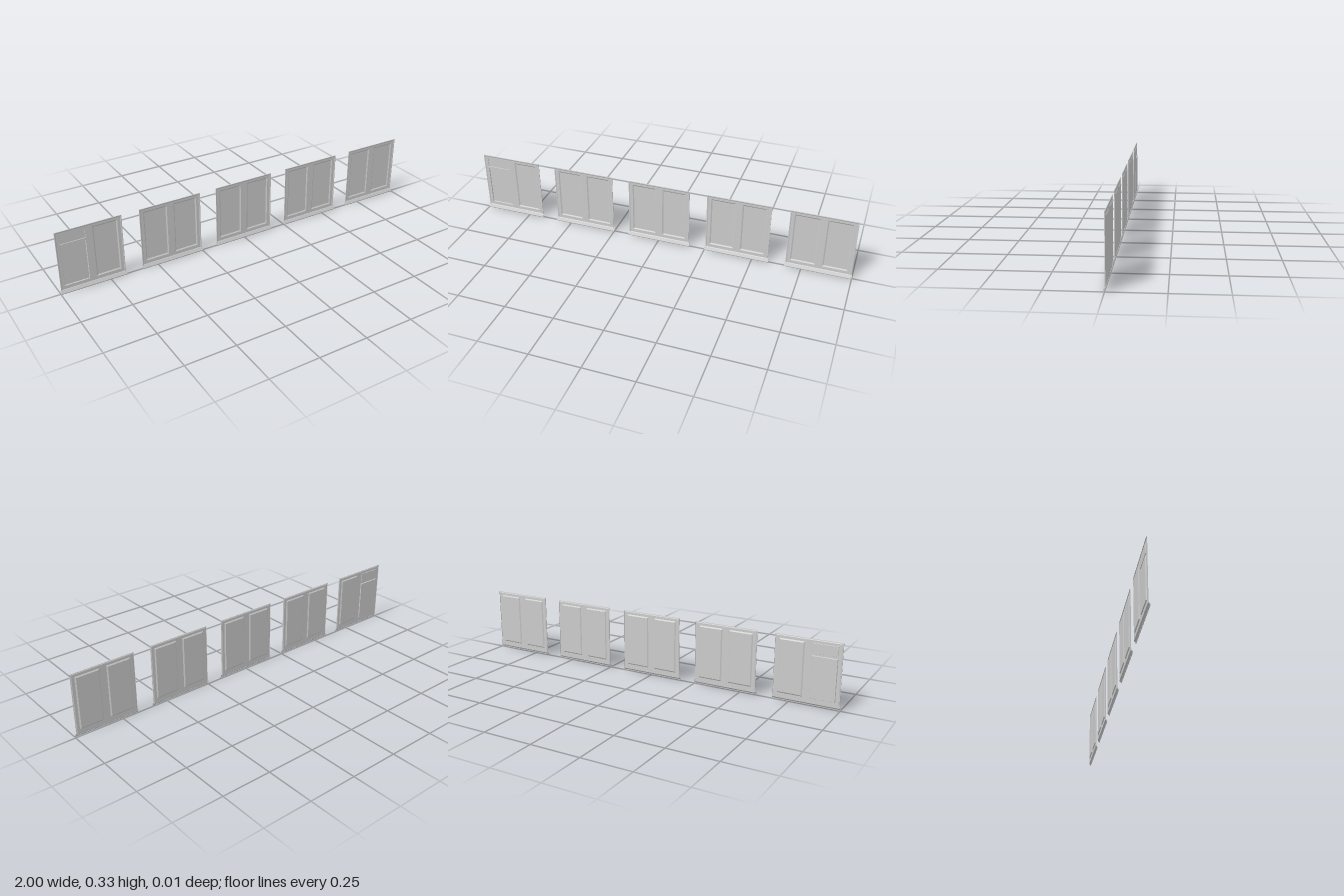
import * as THREE from 'three';

const material = new THREE.MeshStandardMaterial({ color: 0xcccccc, flatShading: true, side: THREE.DoubleSide });

const HALF = 0.163, BASE = 0.012, TOP = 0.326;
const FACE_Z = -0.002, GLASS_Z = -0.0062;

function addMesh(group, name, geometry) {
  const mesh = new THREE.Mesh(geometry, material);
  mesh.name = name;
  group.add(mesh);
  return mesh;
}

// Corners of a rectangle { x0, x1, y0, y1 } pulled in by an inset
function corners(r, inset) {
  return [
    [r.x0 + inset, r.y0 + inset], [r.x1 - inset, r.y0 + inset],
    [r.x1 - inset, r.y1 - inset], [r.x0 + inset, r.y1 - inset],
  ];
}

// Mitred strip through rectangular rings, each given as [inset, z]
function mitredStrip(rect, rings) {
  const points = [];
  for (let i = 0; i + 1 < rings.length; i++) {
    const a = corners(rect, rings[i][0]), b = corners(rect, rings[i + 1][0]);
    const za = rings[i][1], zb = rings[i + 1][1];
    for (let k = 0; k < 4; k++) {
      const n = (k + 1) % 4;
      points.push(...a[k], za, ...a[n], za, ...b[n], zb);
      points.push(...a[k], za, ...b[n], zb, ...b[k], zb);
    }
  }
  const geometry = new THREE.BufferGeometry();
  geometry.setAttribute('position', new THREE.Float32BufferAttribute(points, 3));
  geometry.computeVertexNormals();
  return geometry;
}

function outline(PathType, rect, inset = 0) {
  return new PathType(corners(rect, inset).map(([x, y]) => new THREE.Vector2(x, y)));
}

function makeWindow(panes) {
  const group = new THREE.Group();
  const frame = { x0: -HALF, x1: HALF, y0: BASE, y1: TOP };

  // Flat frame face with an opening for every pane
  const face = outline(THREE.Shape, frame, 0.007);
  panes.forEach((p) => face.holes.push(outline(THREE.Path, p)));
  addMesh(group, 'frameFace', new THREE.ShapeGeometry(face).translate(0, 0, FACE_Z));

  // Raised outer lip sloping down to the face
  addMesh(group, 'outerLip', mitredStrip(frame, [[0, -0.0032], [0, 0], [0.003, 0], [0.007, FACE_Z]]));

  // Recessed glass with a sloping reveal
  panes.forEach((p) => {
    addMesh(group, 'paneReveal', mitredStrip(p, [[0, FACE_Z], [p.bevel, p.z]]));
    const glass = new THREE.ShapeGeometry(outline(THREE.Shape, p, p.bevel));
    addMesh(group, 'glass', glass.translate(0, 0, p.z));
  });

  // Sloping sill with a small drip nose, profile in (z, y)
  const profile = [[-0.002, 0.02], [0.0005, 0.017], [0.006, 0.0065], [0.0075, 0.004],
    [0.0068, 0], [0.0045, 0.001], [0.0045, 0.004], [-0.002, 0.012]];
  const shape = new THREE.Shape(profile.map(([z, y]) => new THREE.Vector2(-z, y)));
  const sill = new THREE.ExtrudeGeometry(shape, { depth: 0.334, bevelEnabled: false });
  addMesh(group, 'sill', sill.translate(0, 0, -0.167).rotateY(Math.PI / 2));
  return group;
}

// Pane opening on one side of the mullion
function pane(side, y0, y1, bevel = 0.006, z = GLASS_Z) {
  const a = side * 0.018, b = side * 0.142;
  return { x0: Math.min(a, b), x1: Math.max(a, b), y0, y1, bevel, z };
}

export function createModel() {
  const model = new THREE.Group();
  model.name = 'windowRow';
  for (let i = 0; i < 5; i++) {
    const right = i === 0
      ? [pane(-1, 0.037, 0.247, 0.002), pane(-1, 0.258, 0.307, 0.001, -0.0045)] // lower pane and vent
      : [pane(-1, 0.037, 0.307)];
    const unit = makeWindow([...right, pane(1, 0.037, 0.307)]);
    unit.name = i === 0 ? 'ventWindow' : 'window';
    unit.position.x = (i - 2) * 0.4165;
    model.add(unit);
  }
  return model;
}
